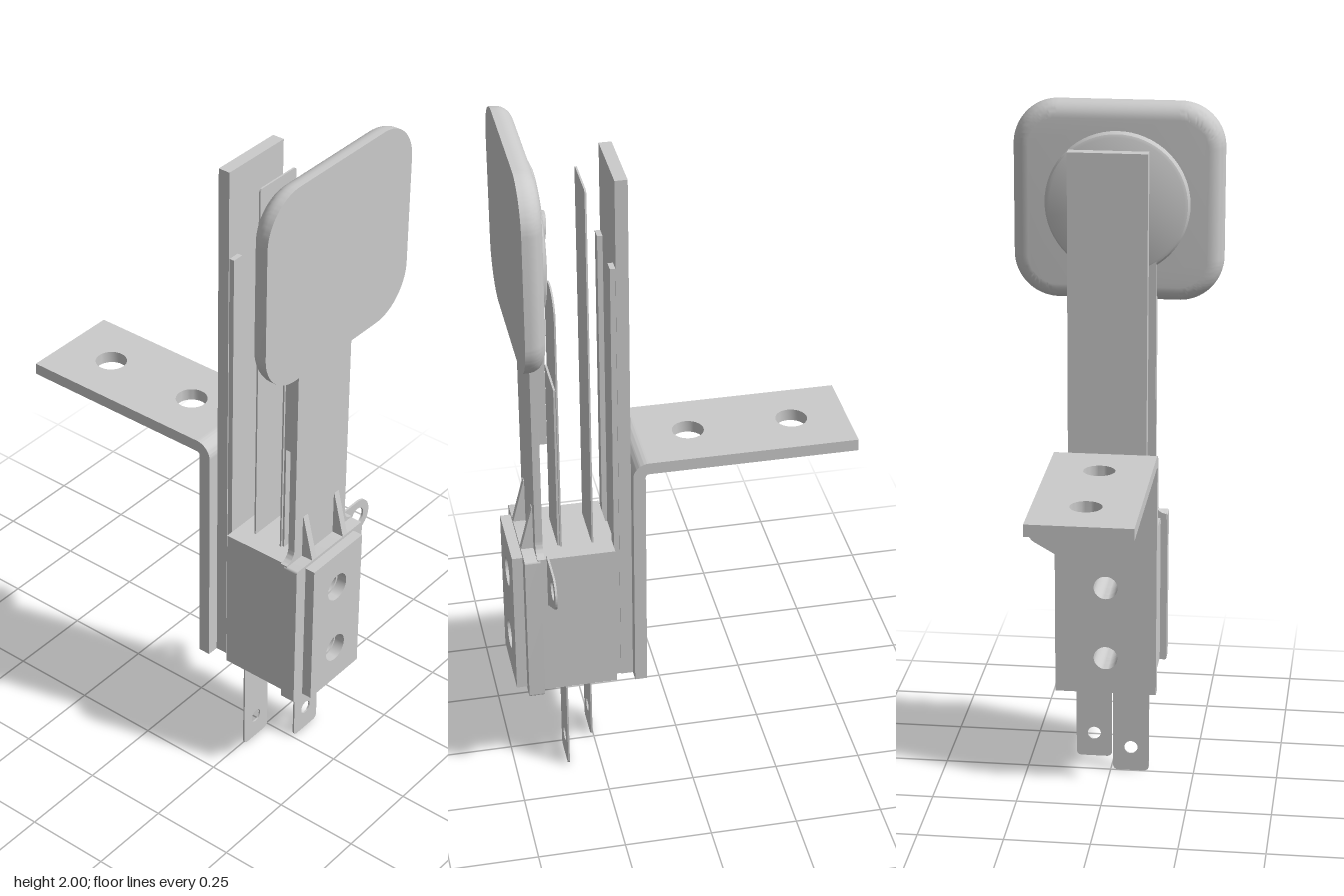
import * as THREE from 'three';
import { toCreasedNormals } from 'three/addons/utils/BufferGeometryUtils.js';

const material = new THREE.MeshStandardMaterial({ color: 0xcccccc, side: THREE.DoubleSide });

// Rounded rectangle in the xy plane, holes given as [x, y, radius]
function rect(x0, x1, y0, y1, r = 0, holes = []) {
  const s = new THREE.Shape();
  if (r > 0) {
    s.absarc(x1 - r, y0 + r, r, -Math.PI / 2, 0);
    s.absarc(x1 - r, y1 - r, r, 0, Math.PI / 2);
    s.absarc(x0 + r, y1 - r, r, Math.PI / 2, Math.PI);
    s.absarc(x0 + r, y0 + r, r, Math.PI, Math.PI * 1.5);
  } else {
    s.moveTo(x0, y0).lineTo(x1, y0).lineTo(x1, y1).lineTo(x0, y1);
  }
  s.closePath();
  return punch(s, holes);
}

function punch(shape, holes) {
  for (const [x, y, r] of holes) {
    shape.holes.push(new THREE.Path().absarc(x, y, r, 0, Math.PI * 2, true));
  }
  return shape;
}

const extrude = (shape, depth, options = {}) =>
  new THREE.ExtrudeGeometry(shape, { depth, bevelEnabled: false, curveSegments: 16, ...options });

export function createModel() {
  const group = new THREE.Group();

  function add(name, geometry) {
    const mesh = new THREE.Mesh(toCreasedNormals(geometry, 0.5), material);
    mesh.name = name;
    group.add(mesh);
    return mesh;
  }
  // Plate parallel to the front, from z0 to z1
  const plate = (name, shape, z0, z1) => add(name, extrude(shape, z1 - z0).translate(0, 0, z0));
  // Side profile (shape x = -z), extruded from x0 to x1
  const sideProfile = (name, shape, x0, x1) =>
    add(name, extrude(shape, x1 - x0).rotateY(Math.PI / 2).translate(x0, 0, 0));

  const screws = (r) => [[0, 0.42, r], [0, 0.64, r]];

  // Square push pad: flat front, rounded back edge
  const bevel = 0.045, padDepth = 0.015;
  const pad = extrude(rect(-0.305, 0.305, 1.42, 2, 0.13), padDepth, {
    bevelEnabled: true, bevelThickness: bevel, bevelSize: bevel, bevelOffset: -bevel, bevelSegments: 8,
  });
  const pp = pad.attributes.position;
  for (let i = 0; i < pp.count; i++) pp.setZ(i, Math.min(pp.getZ(i), padDepth));
  add('pushPad', pad.translate(0, 0, 0.445));

  // Round boss on the back of the pad
  const bossProfile = [[0, 0.022], [0.195, 0.022], [0.204, 0.018], [0.21, 0.009], [0.21, 0]]
    .map(([x, y]) => new THREE.Vector2(x, y));
  add('padBoss', new THREE.LatheGeometry(bossProfile.reverse(), 64)
    .rotateX(-Math.PI / 2).translate(0, 1.71, 0.402));

  // Wedge that presses on the blades, deepest at its rounded top
  const wedgeShape = new THREE.Shape();
  wedgeShape.moveTo(-0.045, 1.54).lineTo(0.045, 1.54).lineTo(0.045, 1.735);
  wedgeShape.absarc(0, 1.735, 0.045, 0, Math.PI).closePath();
  const wedge = extrude(wedgeShape, 0.1);
  const wp = wedge.attributes.position;
  for (let i = 0; i < wp.count; i++) {
    const t = (wp.getY(i) - 1.54) / 0.24;
    wp.setZ(i, wp.getZ(i) > 0.05 ? 0.39 : 0.383 - 0.031 * t);
  }
  add('pusherWedge', wedge);

  // Lever arm, flaring into its base
  const arm = new THREE.Shape();
  arm.moveTo(-0.148, 0.75).lineTo(0.148, 0.75).lineTo(0.148, 0.77);
  arm.quadraticCurveTo(0.115, 0.775, 0.115, 0.81).lineTo(0.115, 1.53);
  arm.lineTo(-0.115, 1.53).lineTo(-0.115, 0.81);
  arm.quadraticCurveTo(-0.115, 0.775, -0.148, 0.77).closePath();
  plate('leverArm', arm, 0.403, 0.424);
  plate('leverBase', rect(-0.15, 0.15, 0.297, 0.767, 0.006, screws(0.035)), 0.415, 0.46);
  plate('frontClampPlate', rect(-0.11, 0.11, 0.305, 0.758, 0, screws(0.042)), 0.46, 0.49);

  const gusset = new THREE.Shape();
  gusset.moveTo(-0.46, 0.765).lineTo(-0.415, 0.765).lineTo(-0.415, 0.9).lineTo(-0.426, 0.9).closePath();
  for (const s of [-1, 1]) {
    sideProfile('leverGusset', gusset, s * 0.07 - 0.01, s * 0.07 + 0.01);
    // Stiffening rails behind the lever and on the back bar
    plate('leverRail', rect(s * 0.1 - 0.015, s * 0.1 + 0.015, 1.13, 1.6), 0.382, 0.404);
    plate('backBarRail', rect(s * 0.093 - 0.017, s * 0.093 + 0.017, 0.31, 1.65), 0.185, 0.2);
  }

  // Insulating stack between lever and back bar
  plate('insulatorBlock', rect(-0.13, 0.13, 0.302, 0.757, 0, screws(0.035)), 0.2, 0.385);
  plate('insulatorFoot', rect(-0.11, 0.11, 0.31, 0.72, 0, screws(0.035)), 0.184, 0.202);

  // Earth lug plate with its side ear
  plate('lugPlate', rect(-0.07, 0.07, 0.285, 0.757, 0, screws(0.035)), 0.389, 0.395);
  plate('lugSpacer', rect(-0.13, 0.13, 0.302, 0.757, 0, screws(0.035)), 0.385, 0.416);
  const ear = new THREE.Shape();
  ear.moveTo(0.12, 0.59).lineTo(0.15, 0.612).lineTo(0.247, 0.668);
  ear.absarc(0.218, 0.712, 0.053, -0.95, Math.PI / 2).lineTo(0.12, 0.765).closePath();
  plate('lugEar', punch(ear, [[0.218, 0.712, 0.028]]), 0.389, 0.395);

  // Contact blades with solder terminals below
  const blades = [
    { z: 0.345, top: 1.56, side: 1, r: 0.07 },
    { z: 0.255, top: 1.87, side: -1, r: 0.01 },
  ];
  for (const { z, top, side, r } of blades) {
    plate('contactBlade', rect(-0.075, 0.075, 0.74, top, r), z - 0.0025, z + 0.0025);
    plate('bladeFoot', rect(-0.075, 0.075, 0.7, 0.85), z - 0.0025, z + 0.0025);
    plate('solderTerminal',
      rect(side * 0.061 - 0.054, side * 0.061 + 0.054, 0, 0.33, 0.015, [[side * 0.061, 0.075, 0.02]]),
      z - 0.0025, z + 0.0025);
  }
  plate('bladeStiffener', rect(-0.07, 0.07, 0.74, 1.27), 0.348, 0.354);

  // Long back bar
  plate('backBar', rect(-0.113, 0.113, 0.31, 1.91, 0, screws(0.035)), 0.15, 0.185);

  // Angle bracket: upright leg, bend and drilled shelf
  plate('bracketUpright', rect(-0.148, 0.148, 0.31, 1.005, 0, screws(0.035)), 0.115, 0.15);
  const bend = new THREE.Shape();
  bend.absarc(-0.105, 1.005, 0.045, Math.PI / 2, Math.PI);
  bend.absarc(-0.105, 1.005, 0.01, Math.PI, Math.PI / 2, true).closePath();
  sideProfile('bracketBend', bend, -0.148, 0.148);
  const shelf = rect(-0.148, 0.148, -0.105, 0.49, 0, [[0, 0.035, 0.045], [0, 0.333, 0.045]]);
  add('bracketShelf', extrude(shelf, 0.035).rotateX(-Math.PI / 2).translate(0, 1.015, 0));

  return group;
}
